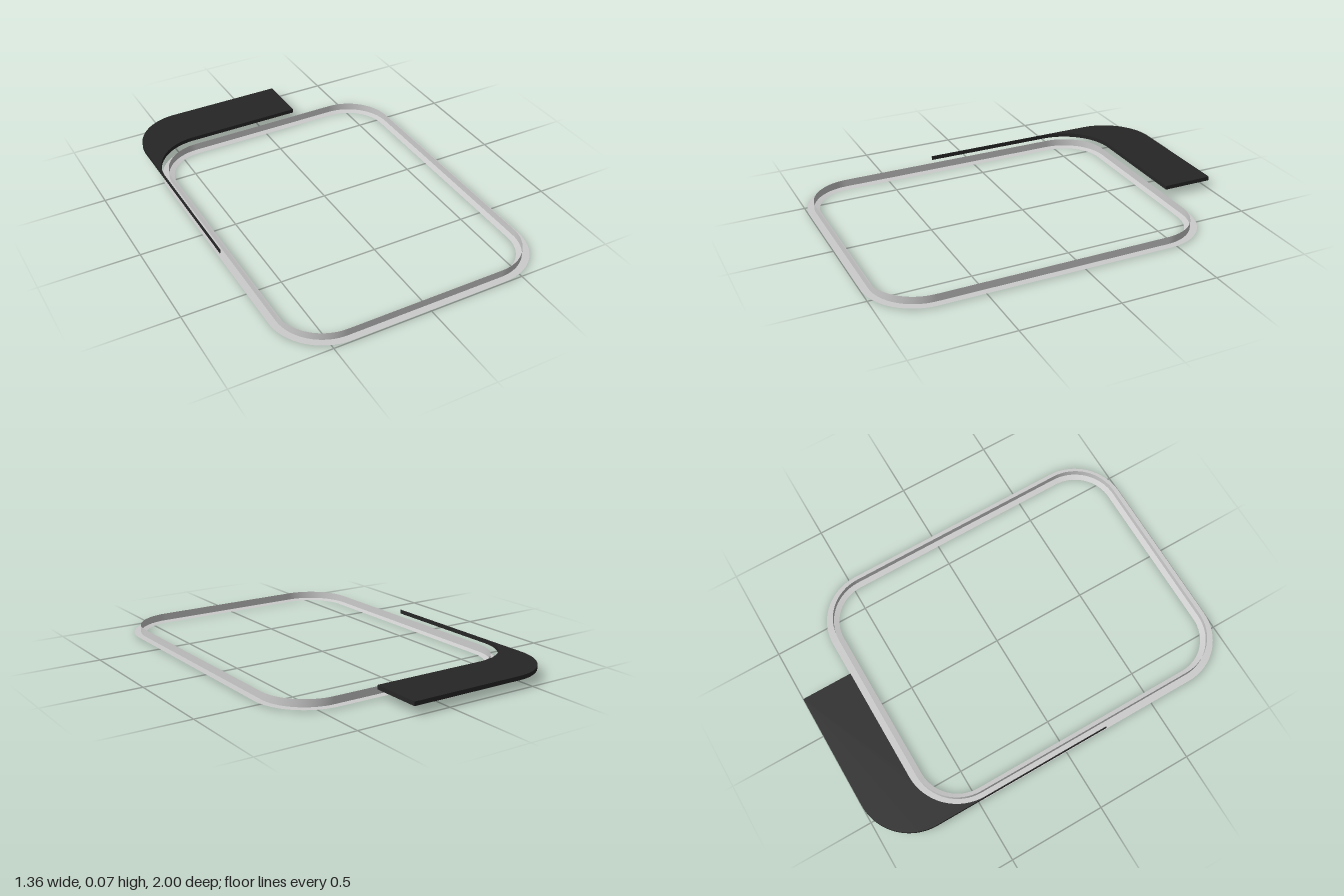
import * as THREE from 'three';

// Corner arc centres shared by every outline
const CX = 0.41, CZ = 0.5975, MID_Z = 0.1325, STEPS = 16;

// Rounded-rectangle loop with corner radius r, as [x, z] points
function loop(r) {
  const pts = [];
  [[1, 1], [-1, 1], [-1, -1], [1, -1]].forEach(([sx, sz], q) => {
    for (let i = 0; i <= STEPS; i++) {
      const a = (q + i / STEPS) * Math.PI / 2;
      pts.push([sx * CX + r * Math.cos(a), MID_Z + sz * CZ + r * Math.sin(a)]);
    }
  });
  return pts;
}

// Thin band joining two loops, each given as [radius, height]
function band(name, [r0, y0], [r1, y1], material) {
  const a = loop(r0), b = loop(r1), n = a.length, pos = [], idx = [];
  for (let i = 0; i < n; i++) {
    pos.push(a[i][0], y0, a[i][1], b[i][0], y1, b[i][1]);
    const p = 2 * i, q = 2 * ((i + 1) % n);
    idx.push(p, p + 1, q, q, p + 1, q + 1);
  }
  const g = new THREE.BufferGeometry();
  g.setAttribute('position', new THREE.Float32BufferAttribute(pos, 3));
  g.setIndex(idx);
  g.computeVertexNormals();
  const mesh = new THREE.Mesh(g, material);
  mesh.name = name;
  return mesh;
}

export function createModel() {
  const model = new THREE.Group();
  model.name = 'frameWithCornerPlate';
  const grey = new THREE.MeshStandardMaterial({ color: 0xcccccc, side: THREE.DoubleSide });
  const black = new THREE.MeshStandardMaterial({ color: 0x262626 });

  // Frame: upright wall on a thin flange with a slightly lowered inner lip
  const frame = new THREE.Group();
  frame.name = 'frame';
  frame.add(
    band('wall', [0.234, 0.007], [0.234, 0.045], grey),
    band('outerFlange', [0.234, 0.007], [0.27, 0.007], grey),
    band('innerLip', [0.206, 0], [0.234, 0.007], grey)
  );
  model.add(frame);

  // Corner plate: drawn with shape y = -z, wraps the frame's back corner
  const s = new THREE.Shape();
  const left = -0.684, inner = -0.68, back = 0.735;
  s.moveTo(0.2, back);
  s.lineTo(0.2, 1);
  s.lineTo(left + 0.27, 1);
  s.absarc(left + 0.27, 0.73, 0.27, Math.PI / 2, Math.PI, false);
  s.lineTo(left, -0.225);
  s.lineTo(inner, -0.225);
  s.lineTo(inner, back - 0.27);
  s.absarc(-CX, back - 0.27, 0.27, Math.PI, Math.PI / 2, true);
  const g = new THREE.ExtrudeGeometry(s, { depth: 0.021, bevelEnabled: false, curveSegments: 20 });
  g.rotateX(-Math.PI / 2);
  const plate = new THREE.Mesh(g, black);
  plate.name = 'cornerPlate';
  plate.position.y = 0.046;
  model.add(plate);
  return model;
}
